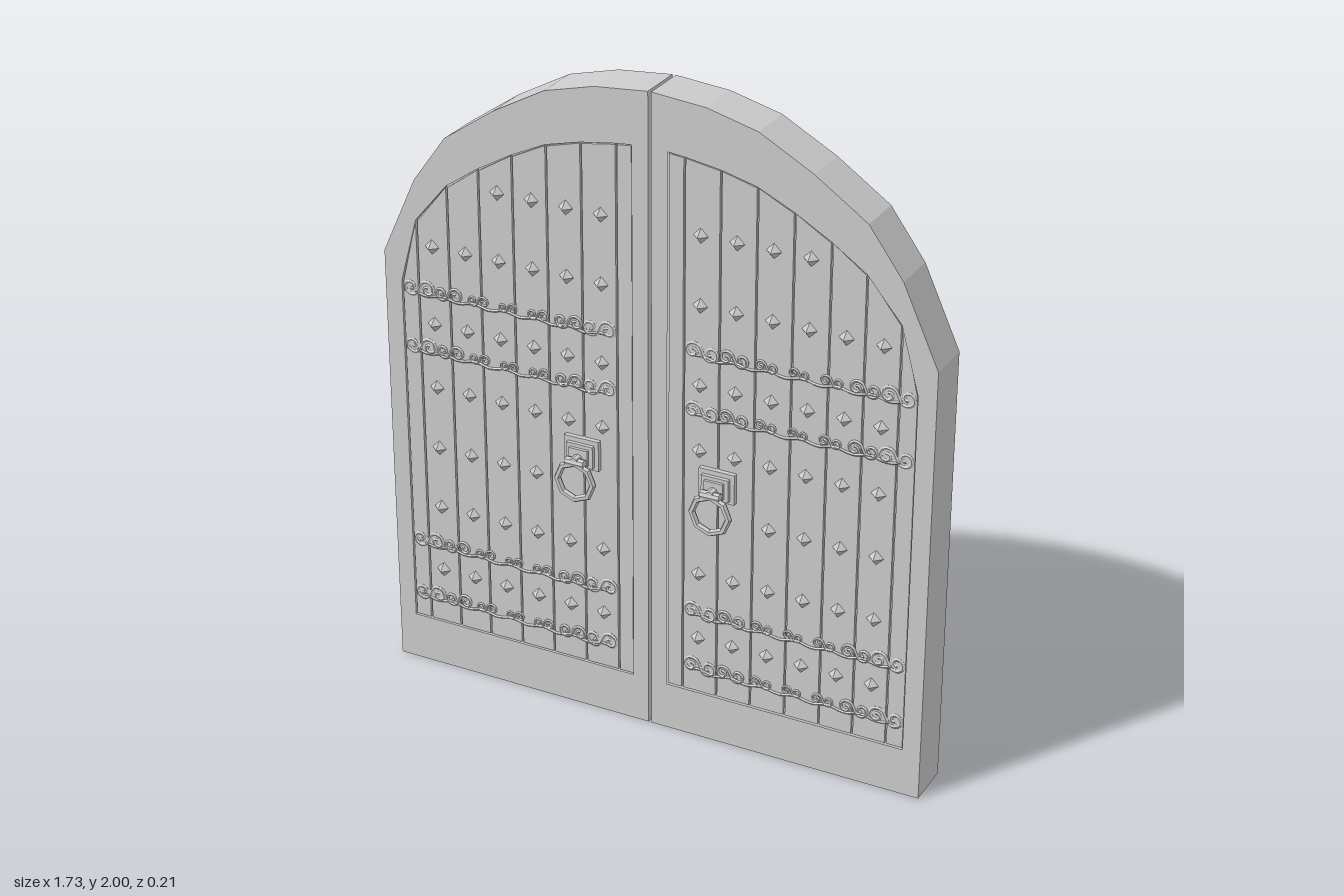
import * as THREE from 'three';

const mat = new THREE.MeshStandardMaterial({ color: 0xcccccc, flatShading: true });
const BACK = -0.1, FLOOR = 0.032, PLANK = 0.041, FACE = 0.045;

// Outer arch and panel arch of one leaf, from the meeting edge outwards
const OUTER = [[0.005, 2], [0.17, 1.985], [0.325, 1.945], [0.49, 1.855], [0.65, 1.745],
  [0.755, 1.6], [0.865, 1.36], [0.865, 0], [0.005, 0]];
const ARCH = [[0.055, 1.837], [0.105, 1.832], [0.215, 1.815], [0.325, 1.787], [0.435, 1.735],
  [0.545, 1.672], [0.65, 1.6], [0.755, 1.475], [0.81, 1.275]];

const STUD_ROWS = [[1.61, 0, 3], [1.4, 0, 5], [1.155, 0, 5], [0.95, 0, 5],
  [0.75, 2, 5], [0.55, 0, 5], [0.335, 0, 5]];
const BANDS = [1.26, 1.075, 0.425, 0.24];

function add(parent, name, geometry, x = 0, y = 0, z = 0) {
  const mesh = new THREE.Mesh(geometry, mat);
  mesh.name = name;
  mesh.position.set(x, y, z);
  parent.add(mesh);
  return mesh;
}

const points = (list, side) => list.map(([x, y]) => new THREE.Vector2(x * side, y));

// Flat plate between two depths, with an optional opening
function plate(outline, z0, z1, side, hole) {
  const shape = new THREE.Shape(points(outline, side));
  if (hole) shape.holes.push(new THREE.Path(points(hole, side)));
  return new THREE.ExtrudeGeometry(shape, { depth: z1 - z0, bevelEnabled: false }).translate(0, 0, z0);
}

// S-shaped scroll: a spiral joined to its half-turn copy
function scrollGeometry(side) {
  const half = [];
  for (let i = 0; i <= 10; i++) {
    const a = Math.PI + i * 0.26 * Math.PI;
    const r = 1 - i * 0.08;
    half.push(new THREE.Vector3((1 + r * Math.cos(a)) * side, r * Math.sin(a), 0));
  }
  const other = half.slice(1).reverse().map(p => new THREE.Vector3(-p.x, -p.y, 0));
  return new THREE.TubeGeometry(new THREE.CatmullRomCurve3([...other, ...half]), 44, 0.2, 5);
}

// Scrollwork strap, fuller at its two ends
function makeBand(side, scroll) {
  const band = new THREE.Group();
  band.name = 'scrollStrap';
  const sizes = [0.028, 0.024, 0.018, 0.016, 0.018, 0.024, 0.028];
  sizes.forEach((s, i) => {
    const m = add(band, 'scroll', scroll, side * (0.162 + i * 0.0985), 0, PLANK);
    m.scale.set(s, s, 0.025);
  });
  const stem = [];
  for (let i = 0; i <= 24; i++) {
    stem.push(new THREE.Vector3(side * (0.13 + i * 0.0265), -0.016 + 0.005 * Math.sin(i * 1.6), PLANK));
  }
  add(band, 'stem', new THREE.TubeGeometry(new THREE.CatmullRomCurve3(stem), 48, 0.0045, 5));
  return band;
}

// Stepped back plate with a hanging octagonal ring
function makeKnocker() {
  const g = new THREE.Group();
  g.name = 'knocker';
  add(g, 'backPlate', new THREE.BoxGeometry(0.112, 0.095, 0.02), 0, 0.858, 0.046);
  add(g, 'middlePlate', new THREE.BoxGeometry(0.086, 0.07, 0.012), 0, 0.856, 0.062);
  add(g, 'frontPlate', new THREE.BoxGeometry(0.06, 0.05, 0.01), 0, 0.855, 0.072);
  add(g, 'hinge', new THREE.CylinderGeometry(0.013, 0.016, 0.034, 8).rotateX(Math.PI / 2), 0, 0.85, 0.086);
  add(g, 'collar', new THREE.CylinderGeometry(0.014, 0.014, 0.06, 8).rotateZ(Math.PI / 2), 0, 0.845, 0.092);
  add(g, 'ring', new THREE.TorusGeometry(0.058, 0.0105, 6, 8).rotateZ(Math.PI / 2), 0, 0.785, 0.094);
  return g;
}

function makeLeaf(side) {
  const leaf = new THREE.Group();
  leaf.name = side > 0 ? 'leftLeaf' : 'rightLeaf';
  const opening = [...ARCH, [0.81, 0.15], [0.055, 0.15]];
  add(leaf, 'slab', plate(OUTER, BACK, FLOOR, side));
  add(leaf, 'frame', plate(OUTER, FLOOR, FACE, side, opening));

  // Planks parted by narrow grooves, cut off along the arch
  const gap = 0.003;
  for (let i = 0; i < ARCH.length - 1; i++) {
    const [x0, y0] = ARCH[i], [x1, y1] = ARCH[i + 1];
    const outline = [[x0 + gap, 0.153], [x1 - gap, 0.153], [x1 - gap, y1 - 0.005], [x0 + gap, y0 - 0.005]];
    add(leaf, 'plank', plate(outline, FLOOR, PLANK, side));
  }

  // Pointed studs
  const stud = new THREE.ConeGeometry(0.026, 0.026, 4).rotateX(Math.PI / 2);
  for (const [y, first, last] of STUD_ROWS) {
    for (let i = first; i <= last; i++) add(leaf, 'stud', stud, side * (0.155 + i * 0.11), y, PLANK + 0.01);
  }

  const scroll = scrollGeometry(side);
  for (const y of BANDS) {
    const band = makeBand(side, scroll);
    band.position.y = y;
    leaf.add(band);
  }

  const knocker = makeKnocker();
  knocker.position.x = side * 0.217;
  leaf.add(knocker);
  return leaf;
}

export function createModel() {
  const model = new THREE.Group();
  model.name = 'archedDoubleDoor';
  model.add(makeLeaf(1), makeLeaf(-1));
  return model;
}
